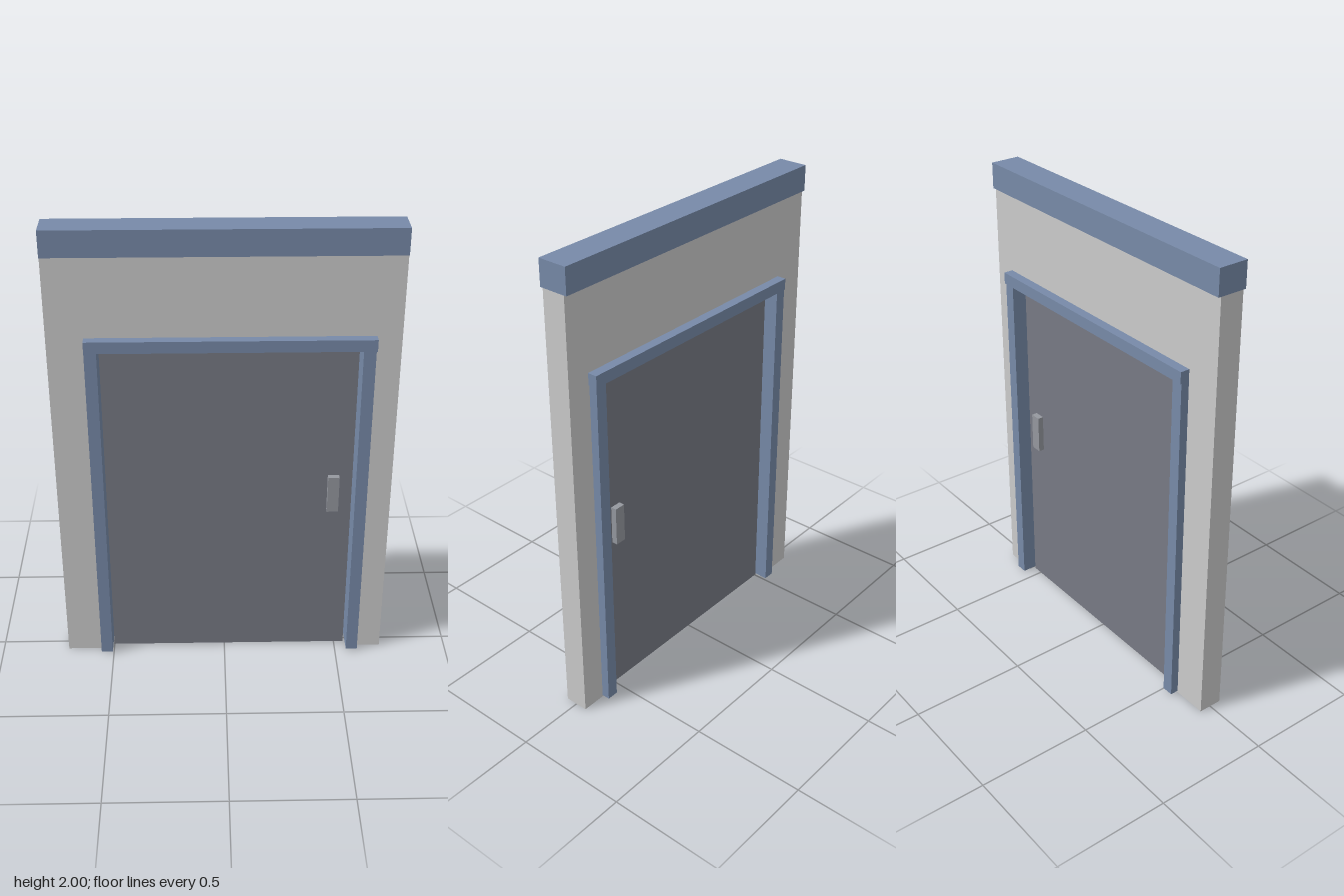
import * as THREE from 'three';

const mat = (color) => new THREE.MeshStandardMaterial({ color, flatShading: true });

export function createModel() {
  const model = new THREE.Group();
  model.name = 'doorway';
  const wallMat = mat(0xcccccc);
  const trimMat = mat(0x778aa8);
  const doorMat = mat(0x777a84);
  const handleMat = mat(0x95989f);

  // Box given by its x and y ranges and its half depth
  const slab = (name, material, x0, x1, y0, y1, halfDepth) => {
    const mesh = new THREE.Mesh(new THREE.BoxGeometry(x1 - x0, y1 - y0, 2 * halfDepth), material);
    mesh.position.set((x0 + x1) / 2, (y0 + y1) / 2, 0);
    mesh.name = name;
    model.add(mesh);
    return mesh;
  };

  // Wall panel, notched from below for the doorway
  const outline = [
    [-0.705, 0], [-0.51, 0], [-0.51, 1.51], [0.555, 1.51],
    [0.555, 0], [0.705, 0], [0.705, 1.89], [-0.705, 1.89],
  ];
  const shape = new THREE.Shape(outline.map(([x, y]) => new THREE.Vector2(x, y)));
  const wallGeo = new THREE.ExtrudeGeometry(shape, { depth: 0.104, bevelEnabled: false });
  wallGeo.translate(0, 0, -0.052);
  const wall = new THREE.Mesh(wallGeo, wallMat);
  wall.name = 'wall';
  model.add(wall);

  // Beam along the top of the wall
  slab('topBeam', trimMat, -0.705, 0.705, 1.89, 2, 0.064);

  // Door frame, passing through the wall
  slab('rightJamb', trimMat, -0.555, -0.505, 0.007, 1.5, 0.088);
  slab('leftJamb', trimMat, 0.55, 0.6, 0.007, 1.5, 0.088);
  slab('lintel', trimMat, -0.555, 0.604, 1.5, 1.55, 0.0925);

  // Door leaf, with a small gap to the frame
  slab('door', doorMat, -0.5, 0.541, 0.005, 1.483, 0.03);

  // Handle plates on both faces
  for (const side of [1, -1]) {
    const handle = slab(side > 0 ? 'frontHandle' : 'backHandle', handleMat, 0.437, 0.485, 0.727, 0.895, 0.014);
    handle.position.z = side * 0.041;
  }
  return model;
}
